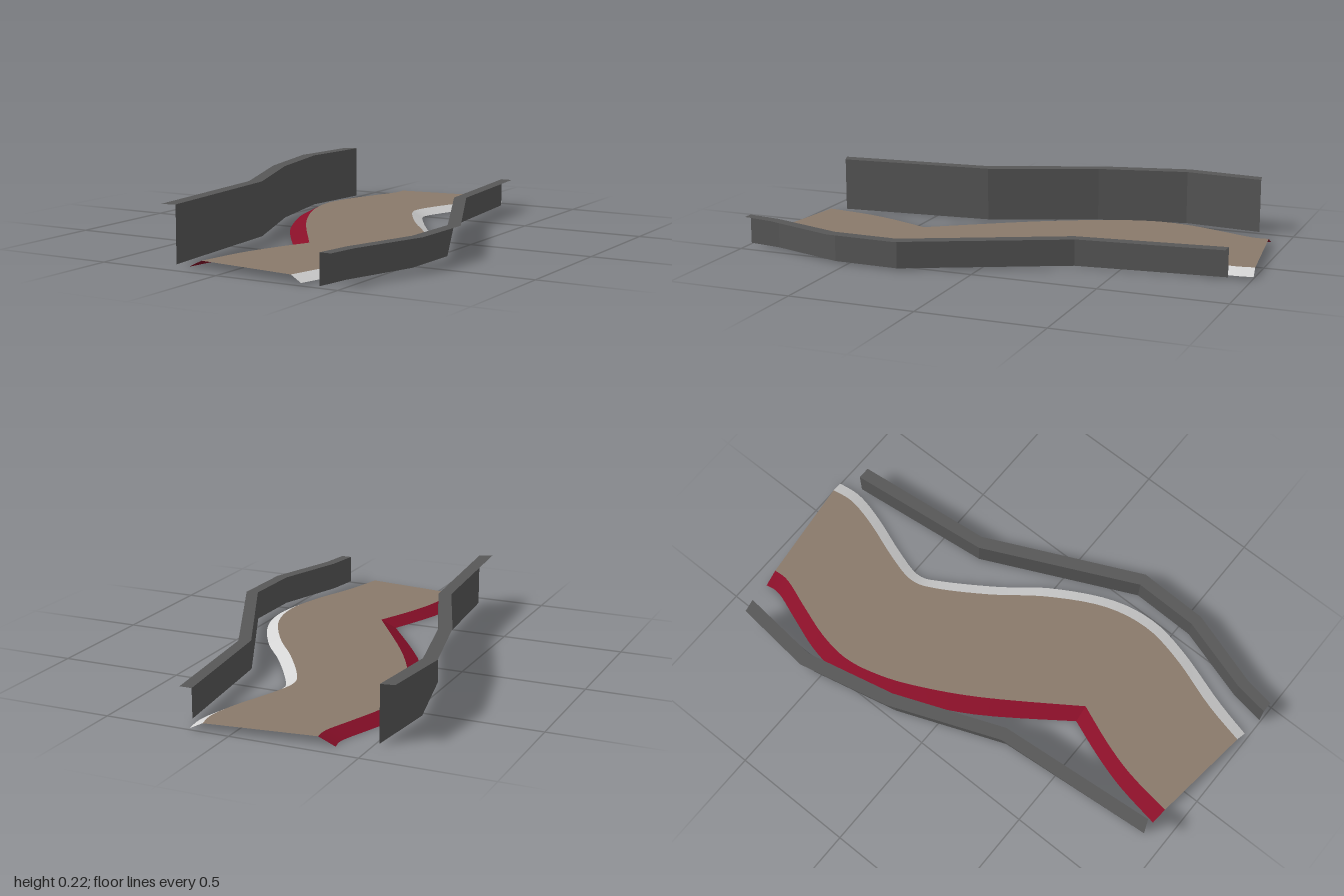
import * as THREE from 'three';

const ROAD_Y = 0.03;

const material = (name, color) => {
  const m = new THREE.MeshStandardMaterial({ color, side: THREE.DoubleSide });
  m.name = name;
  return m;
};

// Smooth plan curve through [x, z] points
const smooth = (points, n) =>
  new THREE.SplineCurve(points.map(([x, z]) => new THREE.Vector2(x, z))).getPoints(n).map((p) => [p.x, p.y]);

// Ribbon between two plan lines of equal length, a at height ya and b at height yb
function ribbon(name, a, ya, b, yb, mat, flat = false) {
  const pos = [], index = [];
  a.forEach(([x, z], i) => {
    pos.push(x, ya, z, b[i][0], yb, b[i][1]);
    if (i > 0) {
      const k = 2 * i;
      index.push(k - 2, k, k - 1, k - 1, k, k + 1);
    }
  });
  let g = new THREE.BufferGeometry();
  g.setAttribute('position', new THREE.Float32BufferAttribute(pos, 3));
  g.setIndex(index);
  if (flat) g = g.toNonIndexed();
  g.computeVertexNormals();
  const mesh = new THREE.Mesh(g, mat);
  mesh.name = name;
  return mesh;
}

// Barrier: upright sheet on the inner line with a flat cap reaching outwards
function barrier(name, inner, outer, bottom, top, mat, mirrored) {
  const group = new THREE.Group();
  group.name = name;
  const cap = mirrored ? [inner, outer] : [outer, inner];
  const face = mirrored ? [bottom, top] : [top, bottom];
  group.add(
    ribbon(name + 'Face', inner, face[0], inner, face[1], mat, true),
    ribbon(name + 'Cap', cap[0], top, cap[1], top, mat, true),
  );
  return group;
}

export function createModel() {
  const group = new THREE.Group();
  const asphalt = material('road brown', 0x8a7a6b);
  const red = material('kerb red', 0x880f28);
  const white = material('kerb white', 0xd4d4d4);
  const grey = material('barrier grey', 0x585858);

  // Left edge: one sweeping curve, a sharp corner, then a short curve
  const leftIn = [
    ...smooth([[-0.32, -0.94], [-0.32, -0.87], [-0.365, -0.74], [-0.41, -0.6], [-0.427, -0.47], [-0.405, -0.34],
      [-0.345, -0.18], [-0.21, 0.07], [0.025, 0.42]], 40),
    ...smooth([[0.025, 0.42], [-0.04, 0.58], [-0.085, 0.73], [-0.115, 0.925]], 12),
  ];
  const leftOut = [
    ...smooth([[-0.385, -0.935], [-0.38, -0.87], [-0.425, -0.74], [-0.472, -0.6], [-0.488, -0.47], [-0.465, -0.34],
      [-0.41, -0.18], [-0.275, 0.09], [-0.04, 0.425]], 40),
    ...smooth([[-0.04, 0.425], [-0.1, 0.58], [-0.145, 0.73], [-0.178, 0.917]], 12),
  ];
  // Right edge
  const rightIn = smooth([[0.108, -0.993], [0.119, -0.9], [0.09, -0.77], [0.03, -0.6], [0.003, -0.475], [0.04, -0.37],
    [0.16, -0.18], [0.295, 0], [0.41, 0.21], [0.447, 0.4], [0.415, 0.585], [0.34, 0.8], [0.297, 0.975]], 52);
  const rightOut = smooth([[0.157, -1], [0.166, -0.9], [0.136, -0.77], [0.075, -0.6], [0.045, -0.475], [0.085, -0.38],
    [0.215, -0.18], [0.345, -0.01], [0.46, 0.21], [0.496, 0.4], [0.465, 0.585], [0.386, 0.82], [0.343, 0.982]], 52);

  // Flat road surface
  const outline = [...leftIn, ...[...rightIn].reverse()].map(([x, z]) => new THREE.Vector2(x, -z));
  const road = new THREE.Mesh(new THREE.ShapeGeometry(new THREE.Shape(outline)), asphalt);
  road.geometry.rotateX(-Math.PI / 2).translate(0, ROAD_Y, 0);
  road.name = 'roadSurface';
  group.add(road);

  // Kerbs falling away from the road
  group.add(ribbon('rightKerb', leftOut, 0, leftIn, ROAD_Y, red));
  group.add(ribbon('leftKerb', rightIn, ROAD_Y, rightOut, 0.006, white));

  // Barriers
  group.add(barrier('tallBarrier',
    [[-0.515, -0.854], [-0.545, -0.532], [-0.463, -0.167], [-0.292, 0.267], [-0.235, 0.913]],
    [[-0.568, -0.844], [-0.6, -0.527], [-0.515, -0.156], [-0.342, 0.283], [-0.288, 0.934]],
    0.003, 0.223, grey, false));
  group.add(barrier('lowBarrier',
    [[0.195, -0.912], [0.26, -0.325], [0.547, 0.288], [0.542, 0.553], [0.447, 0.855], [0.426, 0.995]],
    [[0.245, -0.912], [0.305, -0.347], [0.596, 0.278], [0.59, 0.563], [0.49, 0.87], [0.47, 0.995]],
    0.006, 0.123, grey, true));
  return group;
}
